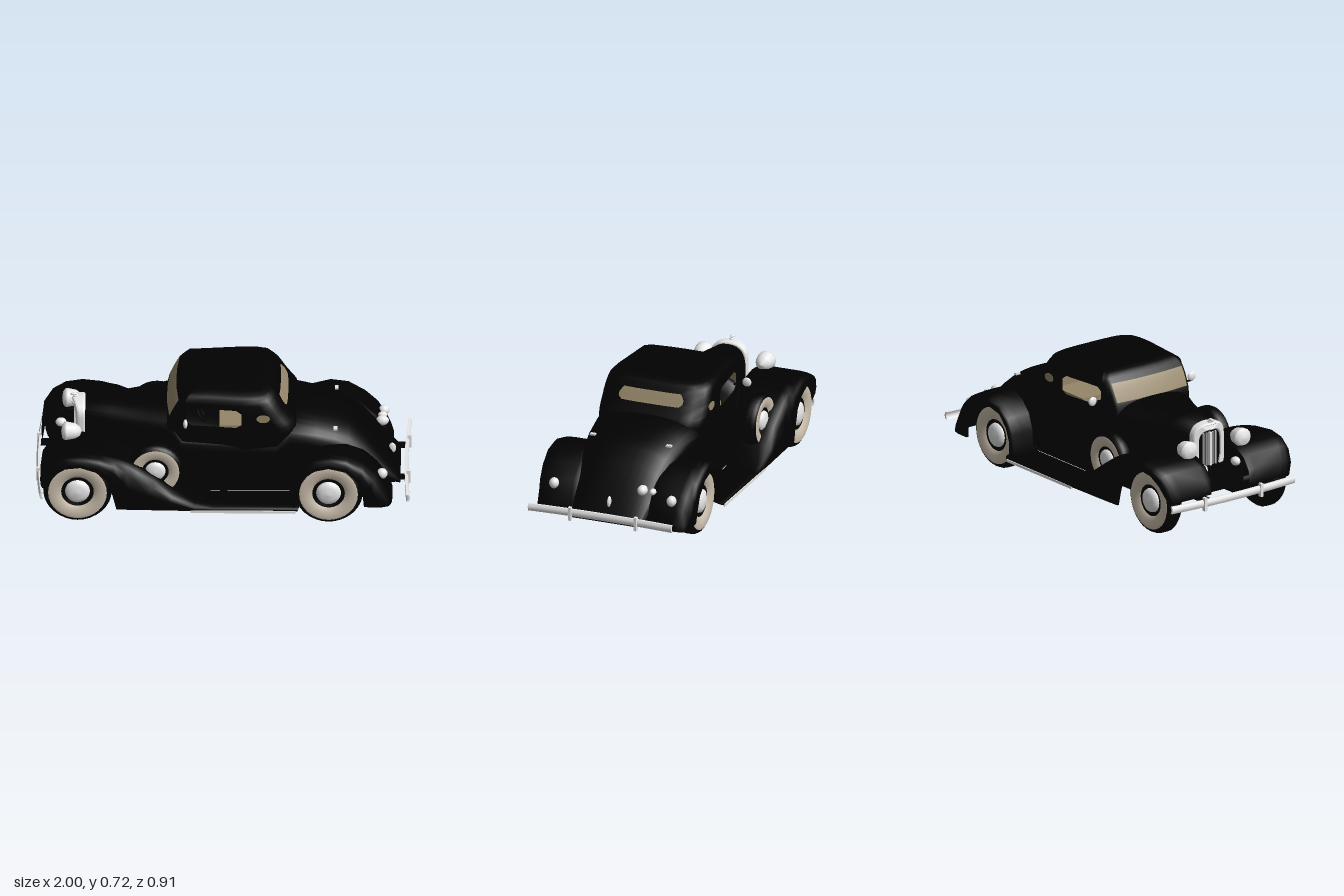
import * as THREE from 'three';

const mat = (name, color) => {
  const m = new THREE.MeshStandardMaterial({ color });
  m.name = name;
  return m;
};

// Skin over closed rings of points. pick(i, j) gives a material index, or -1 for an opening.
function skin(rows, { pick = () => 0, flip = false, caps = false } = {}) {
  if (caps) {
    const collapse = (row) => {
      const c = row.reduce((s, p) => s.map((v, k) => v + p[k] / row.length), [0, 0, 0]);
      return row.map(() => c);
    };
    rows = [collapse(rows[0]), ...rows, collapse(rows[rows.length - 1])];
  }
  const n = rows[0].length;
  const lists = [[], []];
  for (let i = 0; i < rows.length - 1; i++) {
    for (let j = 0; j < n; j++) {
      const m = pick(i, j);
      if (m < 0) continue;
      const a = i * n + j, b = i * n + (j + 1) % n, c = a + n, d = b + n;
      lists[m].push(...(flip ? [a, b, c, b, d, c] : [a, c, b, b, c, d]));
    }
  }
  const g = new THREE.BufferGeometry();
  g.setAttribute('position', new THREE.Float32BufferAttribute(rows.flat(2), 3));
  g.setIndex([...lists[0], ...lists[1]]);
  g.addGroup(0, lists[0].length, 0);
  g.addGroup(lists[0].length, lists[1].length, 1);
  g.computeVertexNormals();
  return g;
}

const lathe = (pts, seg) => new THREE.LatheGeometry(pts.map(([x, y]) => new THREE.Vector2(x, y)), seg);

export function createModel() {
  const car = new THREE.Group();
  car.name = 'coupe';
  const black = mat('black paint', 0x010101);
  const cream = mat('cream sidewall', 0xcbbfad);
  const tan = mat('tan interior', 0x958669);
  const chrome = mat('chrome', 0xeaeaea);

  const add = (name, geo, material, x = 0, y = 0, z = 0, parent = car) => {
    const m = new THREE.Mesh(geo, material);
    m.name = name;
    m.position.set(x, y, z);
    parent.add(m);
    return m;
  };
  const box = (name, material, w, h, d, x, y, z) => add(name, new THREE.BoxGeometry(w, h, d), material, x, y, z);
  const pair = (fn) => [1, -1].forEach(fn);

  // Hood, lower body and tail: x, half width, top, bottom
  const body = [
    [-0.77, 0.09, 0.535, 0.2], [-0.6, 0.145, 0.546, 0.17], [-0.4, 0.215, 0.556, 0.155], [-0.3, 0.255, 0.567, 0.15],
    [-0.26, 0.268, 0.562, 0.15], [-0.22, 0.278, 0.5, 0.15], [0, 0.3, 0.5, 0.15], [0.28, 0.306, 0.5, 0.15],
    [0.36, 0.302, 0.558, 0.15], [0.5, 0.287, 0.534, 0.155], [0.6, 0.272, 0.503, 0.155], [0.67, 0.26, 0.474, 0.155],
    [0.75, 0.245, 0.416, 0.15], [0.85, 0.225, 0.3, 0.145], [0.945, 0.2, 0.165, 0.14],
  ].map(([x, w, t, b]) => {
    const h = Math.min(0.12, (t - b) * 0.6);
    const half = [[0, b], [w * 0.9, b], [w, b + 0.015], [w, (b + t - h) / 2]];
    for (let k = 0; k <= 7; k++) {
      const a = k / 8 * Math.PI / 2;
      half.push([w * Math.cos(a) ** 0.8, t - h + h * Math.sin(a) ** 0.8]);
    }
    const ring = [...half, [0, t], ...half.slice(1).reverse().map(([z, y]) => [-z, y])];
    return ring.map(([z, y]) => [x, y, z]);
  });
  add('body', skin(body, { caps: true }), black);

  // Cabin, stacked upward: y, front x, back x, half width, side window inset, rear window inset
  const cabin = [
    [0.38, -0.3, 0.4, 0.3, 0, 0], [0.5, -0.305, 0.41, 0.301, 0, 0], [0.53, -0.3, 0.4, 0.303, 0.03, 0],
    [0.55, -0.295, 0.385, 0.304, 0, 0], [0.565, -0.29, 0.372, 0.305, 0, 0], [0.6, -0.274, 0.345, 0.305, 0, 0.02],
    [0.615, -0.266, 0.335, 0.305, 0, 0], [0.635, -0.256, 0.322, 0.304, 0.03, 0], [0.662, -0.24, 0.305, 0.301, 0, 0.02],
    [0.685, -0.218, 0.286, 0.295, 0, 0],
  ].map(([y, f, b, w, s, r]) => {
    const half = [[b, 0], [b, 0.09], [b - 0.005, 0.185 - r], [b - 0.015, w - 0.06], [b - 0.05, w - 0.015],
      [b - 0.11, w], [0.1 - s, w], [0, w], [-0.1, w], [-0.195 + s, w], [f + 0.035, w - 0.004],
      [f + 0.012, w - 0.016], [f + 0.002, w - 0.032], [f - 0.01, 0.12], [f - 0.013, 0]]
      .map(([x, z]) => [x, y, z * (1 - 0.35 * Math.max(0, 0.1 - x))]);
    return [...half, ...half.slice(1, -1).reverse().map(([x, yy, z]) => [x, yy, -z])];
  });
  const eave = cabin[cabin.length - 1];
  for (const [s, y] of [[0.96, 0.698], [0.89, 0.709], [0.78, 0.716], [0.6, 0.721], [0.33, 0.7245], [0, 0.725]])
    cabin.push(eave.map(([x, , z]) => [0.05 + (x - 0.05) * s, y, z * s]));
  const pick = (i, j) => {
    const k = Math.min(j, 27 - j);
    if (k >= 6 && k <= 8 && i >= 2 && i < 7) return -1; // open side windows
    if (k >= 12 && i >= 4 && i < 8) return 1; // windshield
    if (k <= 1 && i >= 5 && i < 8) return 1; // rear window
    return 0;
  };
  add('cabin', skin(cabin, { pick }), [black, tan]);
  add('cabinLining', skin(cabin, { pick, flip: true }), [tan, tan]);

  // Interior
  box('seatCushion', tan, 0.3, 0.03, 0.52, 0.13, 0.507, 0);
  box('seatBack', tan, 0.04, 0.11, 0.5, 0.235, 0.55, 0);
  const steering = add('steeringWheel', new THREE.TorusGeometry(0.045, 0.005, 6, 20), black, -0.12, 0.52, 0.13);
  steering.rotation.set(0, Math.PI / 2, 0.5, 'ZYX');

  // Hollow fenders: upper edge x, y; lower edge x, y; outer z; inner z
  const fender = (list) => skin(list.map(([px, py, qx, qy, z1, z0]) => {
    const at = (t, z) => [px + (qx - px) * t, py + (qy - py) * t, z];
    return [at(1, z1 - 0.012), at(1, z1), at(0.75, z1), at(0.45, z1), at(0.2, z1 - 0.012), at(0.06, z1 - 0.035),
      at(0, z1 - 0.075), at(0, z0 + 0.04), at(0.15, z0), at(0.3, z0), at(0.25, z1 - 0.08), at(0.5, z1 - 0.015)];
  }), { caps: true });
  const frontFender = fender([
    [-0.975, 0.22, -0.95, 0.2, 0.4, 0.13], [-0.965, 0.3, -0.94, 0.245, 0.42, 0.13], [-0.92, 0.365, -0.903, 0.305, 0.435, 0.13],
    [-0.85, 0.4, -0.84, 0.35, 0.445, 0.13], [-0.76, 0.412, -0.76, 0.362, 0.45, 0.13], [-0.65, 0.402, -0.675, 0.335, 0.453, 0.13],
    [-0.57, 0.387, -0.615, 0.28, 0.455, 0.14], [-0.5, 0.362, -0.588, 0.2, 0.455, 0.16], [-0.45, 0.335, -0.566, 0.112, 0.455, 0.18],
    [-0.36, 0.275, -0.45, 0.11, 0.455, 0.2], [-0.26, 0.2, -0.3, 0.108, 0.455, 0.24], [-0.15, 0.14, -0.15, 0.106, 0.455, 0.26],
    [-0.05, 0.13, -0.05, 0.106, 0.453, 0.27], [0.41, 0.13, 0.4, 0.106, 0.45, 0.27],
  ]);
  const rearFender = fender([
    [0.355, 0.13, 0.39, 0.11, 0.44, 0.25], [0.365, 0.25, 0.382, 0.2, 0.445, 0.25], [0.4, 0.335, 0.405, 0.28, 0.45, 0.25],
    [0.47, 0.395, 0.46, 0.345, 0.453, 0.25], [0.565, 0.42, 0.565, 0.37, 0.455, 0.24], [0.66, 0.41, 0.66, 0.348, 0.455, 0.22],
    [0.75, 0.365, 0.725, 0.28, 0.452, 0.2], [0.82, 0.305, 0.748, 0.2, 0.448, 0.2], [0.865, 0.24, 0.755, 0.13, 0.442, 0.19],
    [0.895, 0.17, 0.8, 0.125, 0.435, 0.18], [0.905, 0.13, 0.85, 0.12, 0.425, 0.18],
  ]);

  // Wheel parts, turned around the axle
  const wheelParts = [
    ['tire', black, [[0, -0.05], [0.13, -0.052], [0.163, -0.045], [0.183, -0.02], [0.183, 0.02], [0.173, 0.04], [0.157, 0.05]]],
    ['whitewall', cream, [[0.157, 0.05], [0.145, 0.054], [0.11, 0.053], [0.087, 0.038]]],
    ['rim', black, [[0.087, 0.038], [0.06, 0.03]]],
    ['hubcap', chrome, [[0.067, 0.03], [0.062, 0.046], [0.038, 0.057], [0, 0.061]]],
  ].map(([name, m, pts]) => [name, lathe(pts, 32).rotateX(Math.PI / 2), m]);
  const wheel = (name, x, y, z, scale = 1) => {
    const g = new THREE.Group();
    g.name = name;
    wheelParts.forEach(([part, geo, m]) => add(part, geo, m, 0, 0, 0, g));
    g.position.set(x, y, z);
    g.scale.setScalar(scale);
    if (z < 0) g.rotation.y = Math.PI;
    car.add(g);
  };

  const lamp = lathe([[0, -0.06], [0.025, -0.05], [0.043, -0.025], [0.052, 0.02], [0.052, 0.03], [0.035, 0.045], [0, 0.05]], 14)
    .rotateZ(Math.PI / 2);
  const ball = new THREE.SphereGeometry(1, 10, 8);
  const blob = (name, x, y, z, sx, sy, sz, m = chrome) => add(name, ball, m, x, y, z).scale.set(sx, sy, sz);
  const quarter = new THREE.CylinderGeometry(0.036, 0.036, 0.006, 20).rotateX(Math.PI / 2).scale(1, 0.65, 1);

  pair((s) => {
    add('frontFender', frontFender, black).scale.z = s;
    add('rearFender', rearFender, black).scale.z = s;
    wheel('frontWheel', -0.775, 0.184, 0.352 * s);
    wheel('rearWheel', 0.565, 0.184, 0.352 * s);
    wheel('spareWheel', -0.36, 0.295, 0.332 * s, 0.82);
    add('quarterWindow', quarter, tan, 0.215, 0.588, 0.304 * s);
    box('runningBoardTrim', chrome, 0.56, 0.014, 0.01, 0.11, 0.102, 0.452 * s);
    // Lamps, horns and mirrors
    add('headlight', lamp, chrome, -0.815, 0.435, 0.18 * s);
    box('headlightBracket', black, 0.02, 0.07, 0.02, -0.8, 0.36, 0.18 * s);
    blob('horn', -0.87, 0.325, 0.11 * s, 0.03, 0.025, 0.025);
    blob('tailLight', 0.85, 0.28, 0.34 * s, 0.03, 0.03, 0.027);
    blob('mirror', -0.2, 0.572, 0.335 * s, 0.012, 0.026, 0.026);
    box('mirrorArm', black, 0.008, 0.008, 0.07, -0.2, 0.55, 0.295 * s);
    box('trunkHinge', chrome, 0.02, 0.01, 0.03, 0.6, 0.486, 0.22 * s);
    // Bumper guards, frame rails and springs
    pair((e) => box('bumperGuard', chrome, 0.022, 0.075, 0.016, 0.989 * e, 0.178, 0.19 * s));
    box('frontBumperBracket', black, 0.25, 0.03, 0.03, -0.86, 0.18, 0.15 * s);
    box('rearBumperBracket', black, 0.14, 0.02, 0.03, 0.91, 0.165, 0.17 * s);
    box('frameRail', black, 1.35, 0.055, 0.04, -0.1, 0.128, 0.2 * s);
    box('springShackle', black, 0.06, 0.04, 0.05, -0.23, 0.095, 0.2 * s);
    box('floorStrip', tan, 1.0, 0.008, 0.035, 0.15, 0.147, 0.065 * s);
  });
  [-0.5, -0.05, 0.35].forEach((x) => box('crossMember', black, 0.05, 0.03, 0.4, x, 0.13, 0));
  blob('reverseLamp', 0.845, 0.315, -0.17, 0.035, 0.028, 0.028);
  blob('fuelCap', 0.845, 0.315, -0.23, 0.025, 0.018, 0.018);
  blob('trunkHandle', 0.9, 0.243, 0, 0.02, 0.032, 0.01);

  // Bowed bumper blades with a rounded face
  pair((e) => {
    const blade = new THREE.BoxGeometry(0.012, 0.04, 0.83, 1, 4, 14);
    const p = blade.attributes.position;
    for (let i = 0; i < p.count; i++) {
      const q = (p.getZ(i) / 0.415) ** 2, crown = 1 - (p.getY(i) / 0.02) ** 2;
      p.setX(i, p.getX(i) + e * 0.008 * crown + (e > 0 ? 0.972 + 0.014 * q : -0.985 + 0.02 * q));
    }
    blade.computeVertexNormals();
    add(e > 0 ? 'rearBumper' : 'frontBumper', blade, chrome, 0, 0.18, 0.015);
  });

  // Vee-fronted radiator shell with upright bars
  const arch = (w, top, low) => {
    const s = new THREE.Shape();
    s.moveTo(-w * 0.6, low);
    s.lineTo(0, low);
    s.lineTo(w * 0.6, low);
    s.lineTo(w, low + 0.14);
    s.lineTo(w, top - w * 0.8);
    s.quadraticCurveTo(w, top, 0, top);
    s.quadraticCurveTo(-w, top, -w, top - w * 0.8);
    s.lineTo(-w, low + 0.14);
    return s;
  };
  const vee = (geo) => {
    const p = geo.attributes.position;
    for (let i = 0; i < p.count; i++) if (p.getZ(i) > 0.01) p.setZ(i, p.getZ(i) - Math.abs(p.getX(i)) * 0.3);
    geo.computeVertexNormals();
    return geo;
  };
  const shellShape = arch(0.105, 0.548, 0.18);
  shellShape.holes.push(arch(0.07, 0.505, 0.21));
  const grille = new THREE.Group();
  grille.name = 'radiator';
  add('radiatorShell', vee(new THREE.ExtrudeGeometry(shellShape, {
    depth: 0.05, bevelEnabled: true, bevelSize: 0.008, bevelThickness: 0.012, bevelOffset: -0.008, bevelSegments: 2,
  })), chrome, 0, 0, 0, grille);
  const core = new THREE.ExtrudeGeometry(arch(0.08, 0.52, 0.2), { depth: 0.03, bevelEnabled: false });
  add('radiatorCore', core, black, 0, 0, 0, grille);
  for (let k = -2; k <= 2; k++)
    add('grilleBar', new THREE.BoxGeometry(k ? 0.005 : 0.014, 0.27, k ? 0.012 : 0.03), chrome, k * 0.02, 0.355, 0.035, grille);
  grille.rotation.y = -Math.PI / 2;
  grille.position.x = -0.75;
  car.add(grille);
  blob('hoodOrnamentBase', -0.79, 0.548, 0, 0.016, 0.012, 0.012);
  blob('hoodOrnament', -0.8, 0.562, 0, 0.02, 0.008, 0.01);

  // Front apron, axles and exhaust
  box('frontApron', black, 0.26, 0.13, 0.36, -0.72, 0.24, 0);
  const axle = new THREE.CylinderGeometry(0.018, 0.018, 0.64, 10).rotateX(Math.PI / 2);
  add('frontAxle', axle, black, -0.775, 0.17, 0);
  add('rearAxle', axle, black, 0.565, 0.17, 0);
  blob('differential', 0.565, 0.17, 0, 0.06, 0.055, 0.06, black);
  add('exhaustPipe', new THREE.CylinderGeometry(0.012, 0.012, 0.9, 8).rotateZ(Math.PI / 2), black, 0.05, 0.12, -0.13);
  return car;
}
